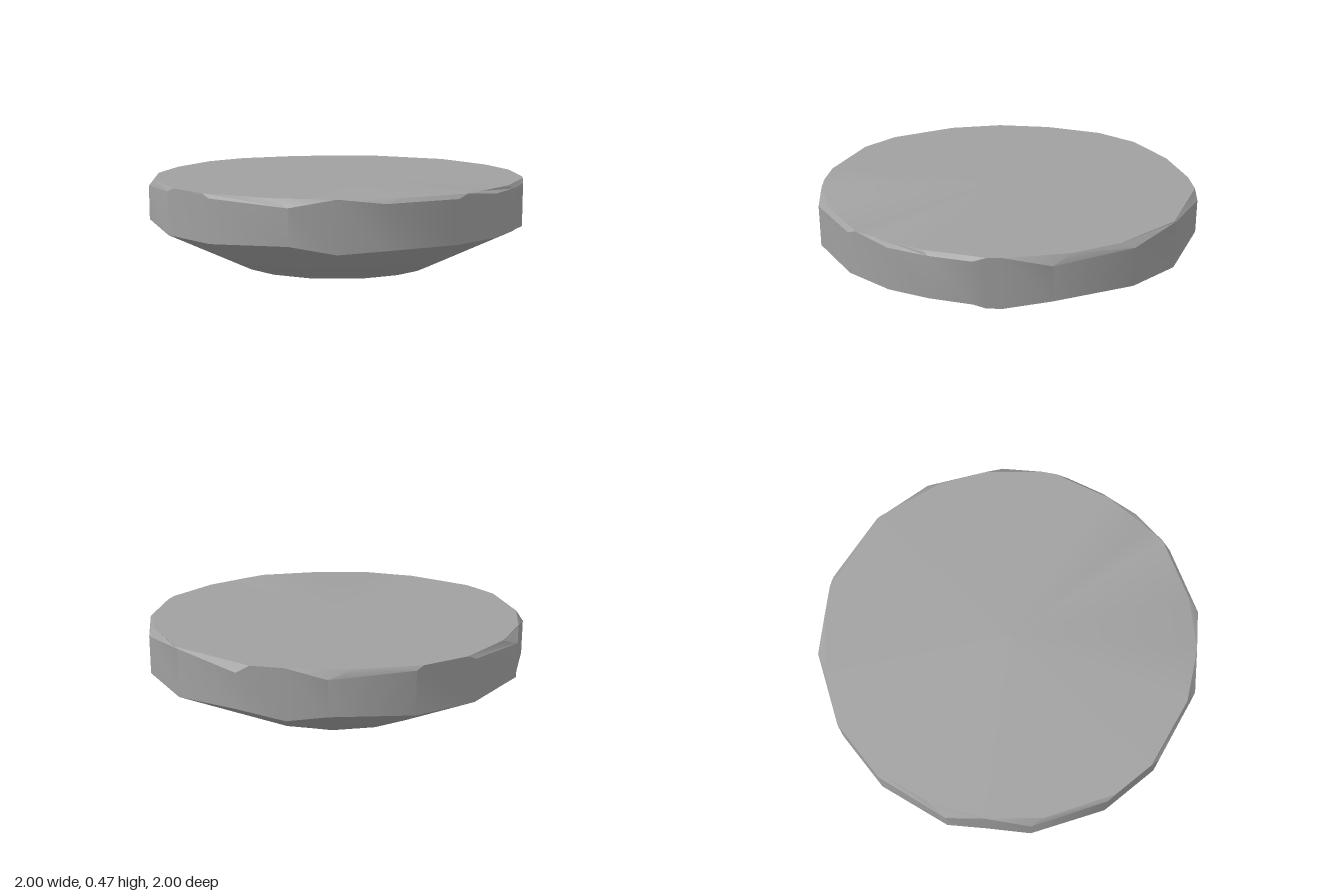
import * as THREE from 'three';
import { toCreasedNormals } from 'three/addons/utils/BufferGeometryUtils.js';

// Irregular rim corners: x, z, height of the upper edge, then x, z of the top face corner
const CORNERS = [
  [1, 0.15, 0.45, 1, 0.09],
  [0.875, 0.52, 0.45, 0.885, 0.43],
  [0.72, 0.68, 0.47, 0.72, 0.68],
  [0.565, 0.845, 0.43, 0.49, 0.86],
  [0.17, 1, 0.45, 0.12, 1],
  [-0.17, 1, 0.45, -0.12, 1],
  [-0.55, 0.855, 0.43, -0.48, 0.865],
  [-0.715, 0.68, 0.465, -0.715, 0.68],
  [-0.86, 0.55, 0.43, -0.885, 0.43],
  [-1, 0.17, 0.45, -1, 0.12],
  [-1, -0.18, 0.45, -1, -0.14],
  [-0.85, -0.57, 0.43, -0.88, -0.45],
  [-0.7, -0.71, 0.47, -0.7, -0.71],
  [-0.53, -0.88, 0.43, -0.58, -0.83],
  [-0.14, -1, 0.465, -0.12, -1],
  [0.21, -1, 0.44, 0.26, -0.955],
  [0.61, -0.825, 0.43, 0.51, -0.85],
  [0.76, -0.65, 0.47, 0.76, -0.65],
  [0.81, -0.59, 0.47, 0.81, -0.59],
  [0.85, -0.54, 0.45, 0.83, -0.54],
  [0.94, -0.34, 0.45, 0.94, -0.3],
  [1, -0.13, 0.45, 0.985, -0.03],
];
const HEIGHT = 0.47;
const BASE_SCALE = 0.535;

// Joins rings of points, listed from top to bottom, into a closed skin
function skin(rings) {
  const positions = [];
  const triangle = (a, b, c) => {
    const area = b.clone().sub(a).cross(c.clone().sub(a)).length();
    if (area > 1e-6) for (const p of [a, b, c]) positions.push(p.x, p.y, p.z);
  };
  for (let r = 0; r < rings.length - 1; r++) {
    const upper = rings[r], lower = rings[r + 1];
    for (let i = 0; i < upper.length; i++) {
      const j = (i + 1) % upper.length;
      triangle(upper[i], upper[j], lower[i]);
      triangle(upper[j], lower[j], lower[i]);
    }
  }
  const geometry = new THREE.BufferGeometry();
  geometry.setAttribute('position', new THREE.Float32BufferAttribute(positions, 3));
  return toCreasedNormals(geometry, THREE.MathUtils.degToRad(30));
}

export function createModel() {
  const group = new THREE.Group();
  group.name = 'stoneDisc';

  const stone = new THREE.MeshStandardMaterial({ color: 0xa0a0a0 });
  stone.name = 'stoneGrey';

  const ring = (place) => CORNERS.map((c) => new THREE.Vector3(...place(c)));

  // Flat top, chipped upper edge, upright rim, tapered underside, flat base
  const disc = new THREE.Mesh(skin([
    ring(() => [0, HEIGHT, 0]),
    ring(([, , , x, z]) => [x, HEIGHT, z]),
    ring(([x, z, y]) => [x, y, z]),
    ring(([x, z, y]) => [x, 0.68 - y, z]),
    ring(([x, z]) => [x * BASE_SCALE, 0, z * BASE_SCALE]),
    ring(() => [0, 0, 0]),
  ]), stone);
  disc.name = 'steppingStone';
  group.add(disc);

  return group;
}
